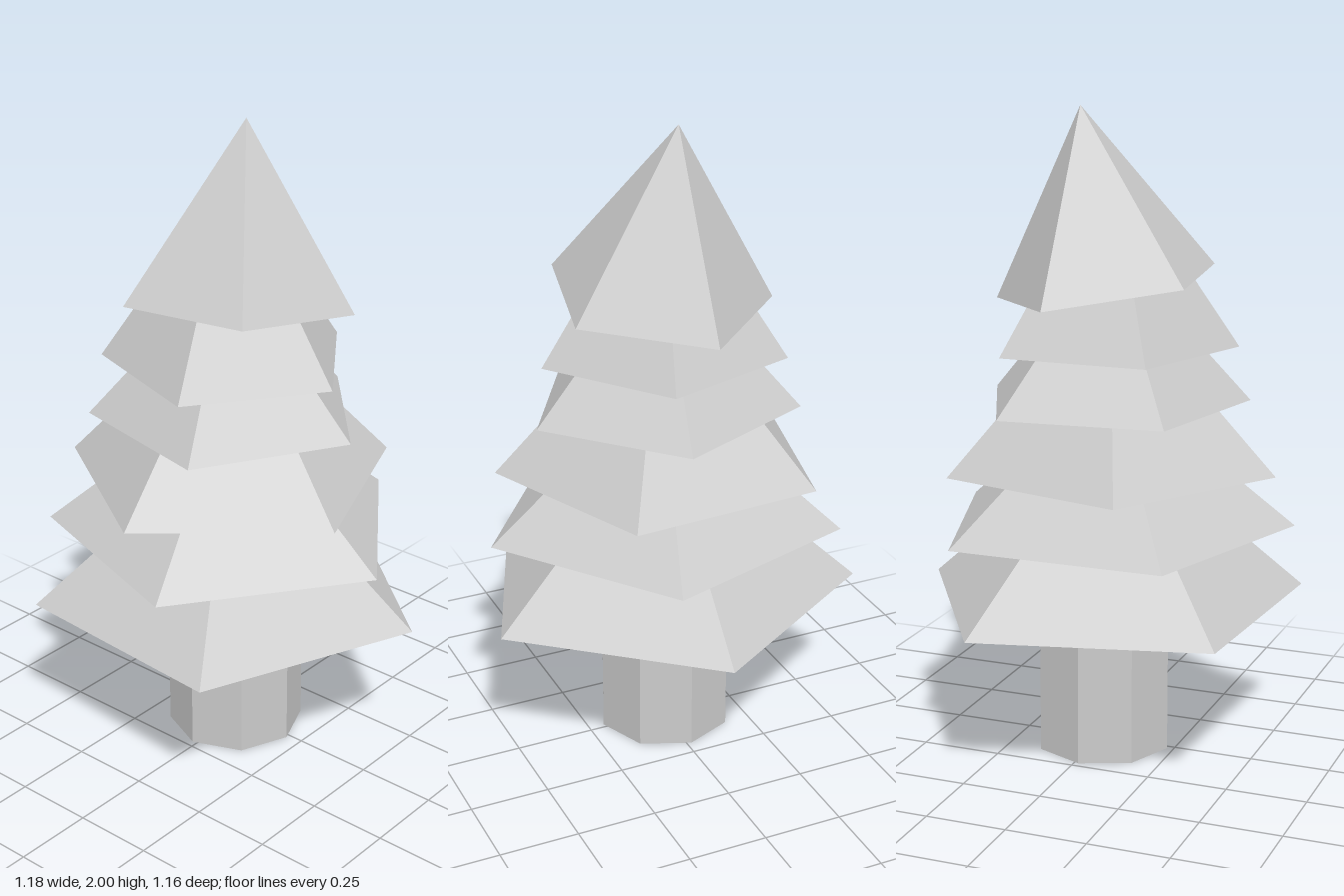
import * as THREE from 'three';

const material = new THREE.MeshStandardMaterial({ color: 0xcccccc, flatShading: true });

// Five-sided cone standing on y = 0; angle is the heading of one corner, from +x towards +z
function fiveSidedCone(radius, height, angle) {
  const start = Math.PI / 2 - THREE.MathUtils.degToRad(angle);
  const geometry = new THREE.ConeGeometry(radius, height, 5, 1, false, start);
  return geometry.translate(0, height / 2, 0);
}

export function createModel() {
  const tree = new THREE.Group();
  tree.name = 'pineTree';

  // Eight-sided trunk
  const trunk = new THREE.Mesh(new THREE.CylinderGeometry(0.215, 0.215, 0.5, 8), material);
  trunk.name = 'trunk';
  trunk.position.set(-0.015, 0.25, 0.014);
  tree.add(trunk);

  // Level foliage tiers: base height, radius, cone height, corner angle
  const tiers = [
    [0.485, 0.62, 0.55, -14],
    [0.72, 0.57, 0.47, 0],
    [0.905, 0.52, 0.56, 14],
    [1.105, 0.43, 0.48, -6],
    [1.28, 0.39, 0.58, 0],
  ];
  tiers.forEach(([y, radius, height, angle], i) => {
    const tier = new THREE.Mesh(fiveSidedCone(radius, height, angle), material);
    tier.name = `foliageTier${i + 1}`;
    tier.position.set(-0.016, y, 0.037);
    tree.add(tier);
  });

  // Tilted crown, aimed from its base centre to the tip
  const base = new THREE.Vector3(0.001, 1.458, 0.02);
  const axis = new THREE.Vector3(-0.03, 2, -0.055).sub(base);
  const crown = new THREE.Mesh(fiveSidedCone(0.357, axis.length(), -24), material);
  crown.name = 'crown';
  crown.position.copy(base);
  crown.quaternion.setFromUnitVectors(new THREE.Vector3(0, 1, 0), axis.normalize());
  tree.add(crown);

  return tree;
}
